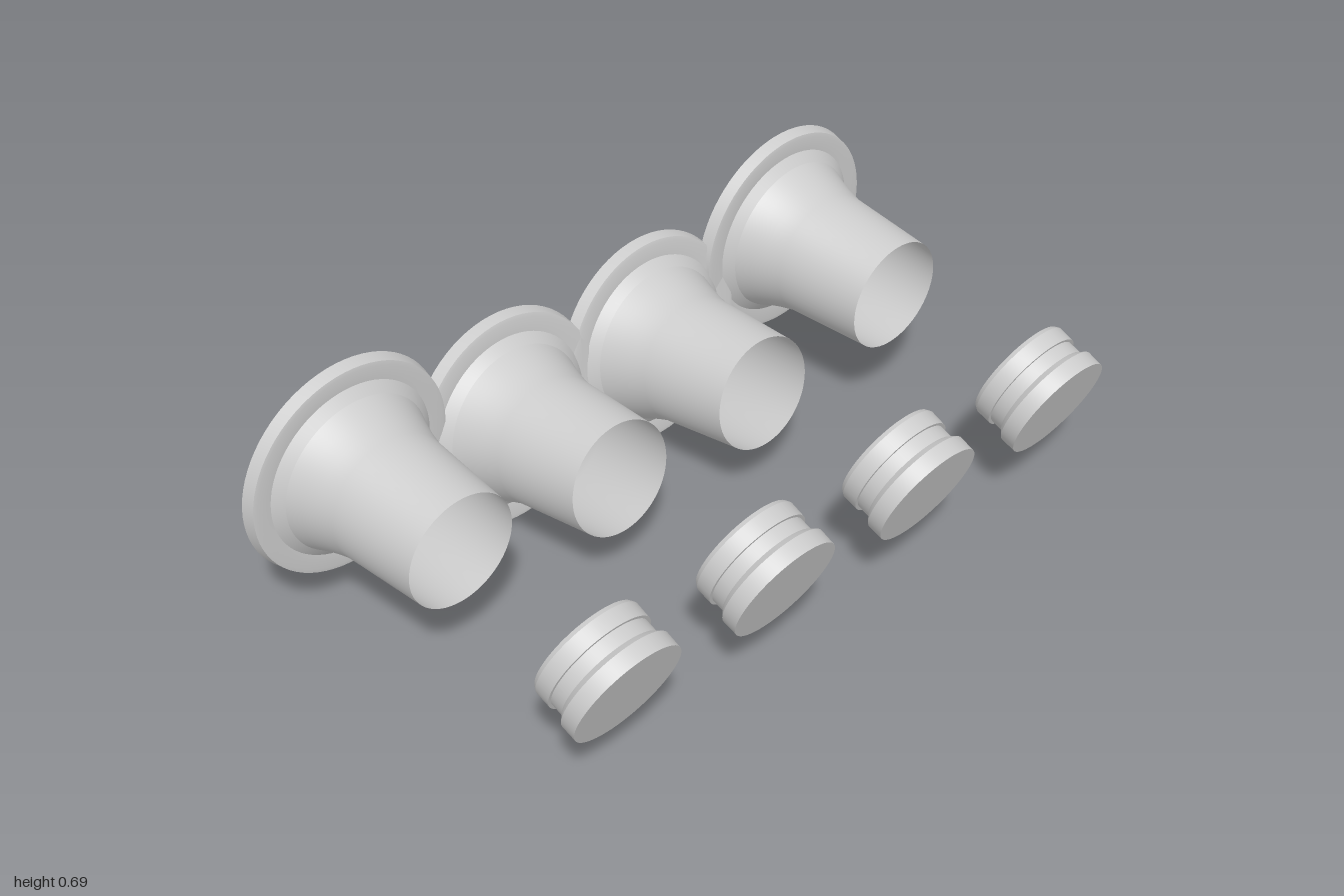
import * as THREE from 'three';
import { toCreasedNormals } from 'three/addons/utils/BufferGeometryUtils.js';

// Turn a profile of [distance along axis, radius] around the x axis
function turned(profile) {
  const points = profile.map(([t, r]) => new THREE.Vector2(r, t));
  const geometry = new THREE.LatheGeometry(points, 72);
  geometry.rotateZ(-Math.PI / 2);
  return toCreasedNormals(geometry, 0.4);
}

export function createModel() {
  const model = new THREE.Group();
  const grey = new THREE.MeshStandardMaterial({ color: 0xcccccc, side: THREE.DoubleSide });
  grey.name = 'light grey';

  // Open tube flaring into a rim, with a recessed disc closing the mouth
  const trumpetShape = turned([
    [-0.392, 0], [-0.392, 0.24], [-0.424, 0.274], [-0.42, 0.285], [-0.388, 0.278],
    [-0.386, 0.268], [-0.388, 0.23], [-0.366, 0.205], [-0.33, 0.19], [-0.29, 0.177],
    [-0.247, 0.166], [0, 0.1485],
  ]);

  // Solid plug with a groove and a stepped collar
  const plugShape = turned([
    [-0.145, 0], [-0.145, 0.137], [-0.134, 0.143], [-0.093, 0.142], [-0.093, 0.134],
    [-0.057, 0.134], [-0.042, 0.149], [0, 0.148], [0, 0],
  ]);

  const place = (name, geometry, x, y, z, degrees) => {
    const mesh = new THREE.Mesh(geometry, grey);
    mesh.name = name;
    mesh.position.set(x, y, z);
    mesh.rotation.z = THREE.MathUtils.degToRad(degrees);
    model.add(mesh);
  };

  // Mirrored pairs: outer trumpets sit higher and tilt down, inner ones tilt up
  for (const side of [1, -1]) {
    place('outerTrumpet', trumpetShape, -0.075, 0.389, side * 0.715, -2.5);
    place('innerTrumpet', trumpetShape, -0.073, 0.328, side * 0.238, 5.3);
    place('outerPlug', plugShape, 0.4645, 0.3185, side * 0.715, -21.4);
    place('innerPlug', plugShape, 0.4645, 0.3185, side * 0.238, -21.4);
  }
  return model;
}
